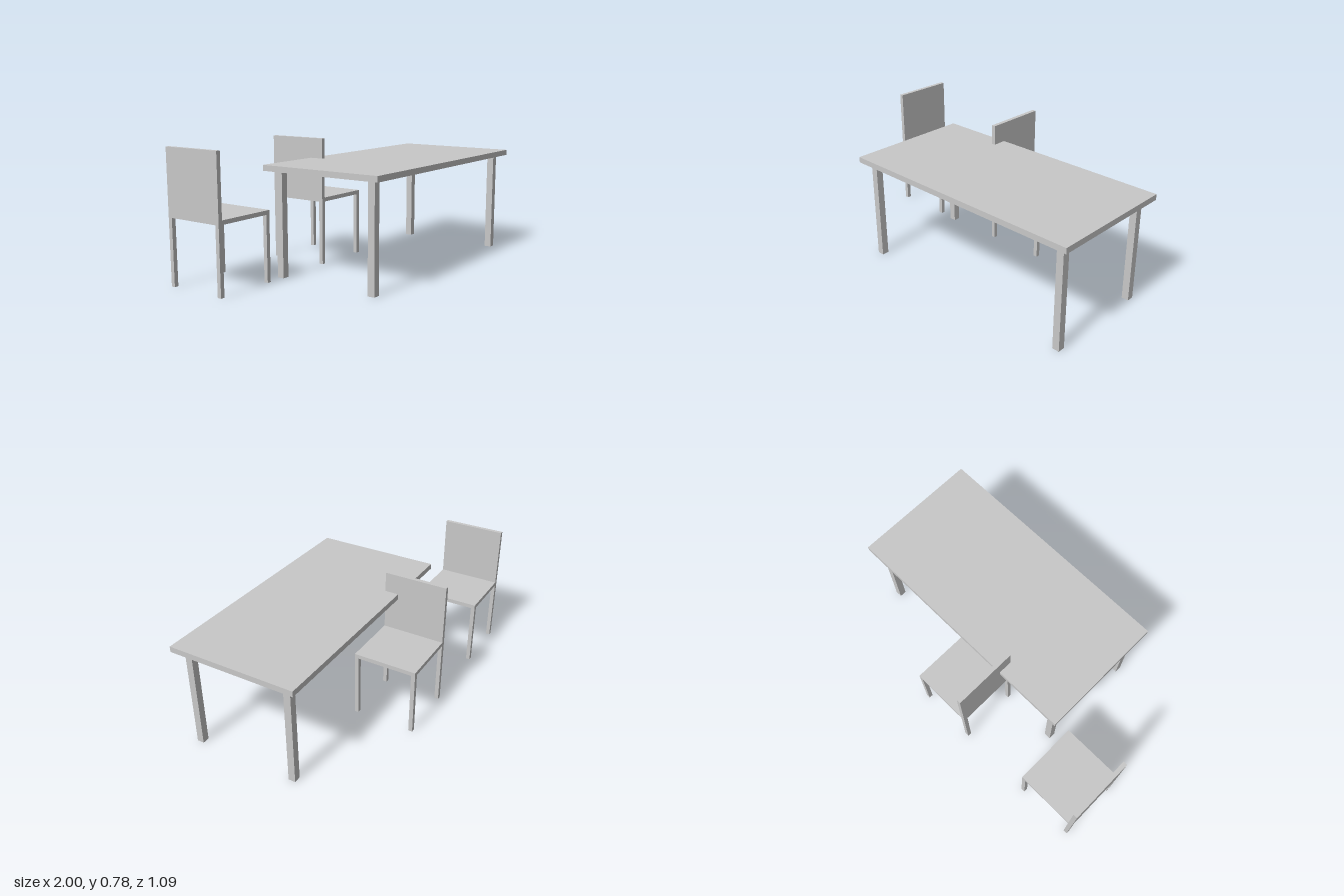
import * as THREE from 'three';

const grey = new THREE.MeshStandardMaterial({ color: 0xc8c8c8 });
grey.name = 'light grey';

// Box given by its minimum and maximum corners
function box(name, [x0, y0, z0], [x1, y1, z1]) {
  const mesh = new THREE.Mesh(new THREE.BoxGeometry(x1 - x0, y1 - y0, z1 - z0), grey);
  mesh.position.set((x0 + x1) / 2, (y0 + y1) / 2, (z0 + z1) / 2);
  mesh.name = name;
  return mesh;
}

// Four square legs; xs and zs hold the lower edge of each leg
function addLegs(group, name, xs, zs, width, height) {
  for (const x of xs)
    for (const z of zs)
      group.add(box(name, [x, 0, z], [x + width, height, z + width]));
}

function createTable() {
  const table = new THREE.Group();
  table.name = 'table';
  table.add(box('tableTop', [-0.565, 0.627, -0.24], [1, 0.661, 0.543]));
  addLegs(table, 'tableLeg', [-0.515, 0.905], [-0.186, 0.449], 0.043, 0.627);
  return table;
}

// Chair facing +x, with the outer face of its back at x = 0
function createChair() {
  const size = 0.388, t = 0.025, seatBottom = 0.393, seatTop = 0.418;
  const chair = new THREE.Group();
  chair.name = 'chair';
  chair.add(box('seat', [t, seatBottom, 0], [size, seatTop, size]));
  chair.add(box('backrest', [0, seatBottom, 0], [t, 0.783, size]));
  addLegs(chair, 'chairLeg', [0, size - t], [0, size - t], t, seatBottom);
  return chair;
}

export function createModel() {
  const model = new THREE.Group();
  model.name = 'diningSet';
  model.add(createTable());
  for (const x of [-1, -0.132]) {
    const chair = createChair();
    chair.position.set(x, 0, -0.543);
    model.add(chair);
  }
  return model;
}
